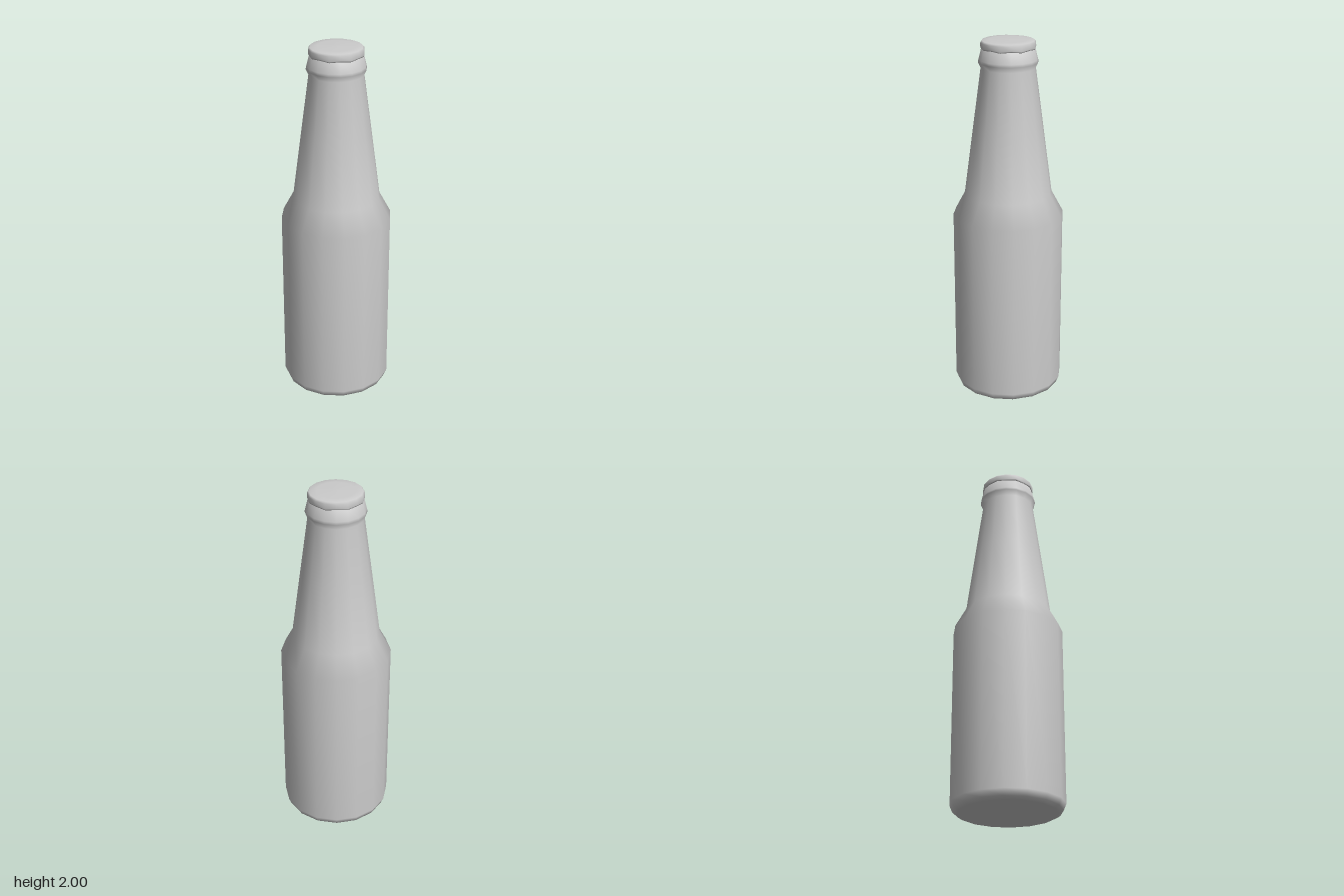
import * as THREE from 'three';

const SIDES = 16;

// Smooth 16-sided turned part from [radius, height] pairs, bottom to top
function turned(name, profile) {
  const points = profile.map(([r, y]) => new THREE.Vector2(r, y));
  const mesh = new THREE.Mesh(
    new THREE.LatheGeometry(points, SIDES),
    new THREE.MeshStandardMaterial({ color: 0xcccccc })
  );
  mesh.name = name;
  return mesh;
}

export function createModel() {
  const group = new THREE.Group();
  group.name = 'bottle';

  // Glass: rounded foot, straight body, sloped shoulder, long neck and lip
  group.add(turned('glassBody', [
    [0, 0.008], [0.2, 0.004], [0.265, 0], [0.29, 0.015], [0.304, 0.05],
    [0.304, 1.035], [0.24, 1.155], [0.19, 1.53], [0.147, 1.85],
    [0.161, 1.88], [0.158, 1.895], [0.143, 1.955], [0.12, 1.965]
  ]));

  // Cap: short skirt and slightly domed top
  const cap = turned('cap', [
    [0.125, 1.957], [0.145, 1.953], [0.148, 1.96], [0.147, 1.985],
    [0.14, 1.995], [0.1, 1.998], [0, 2]
  ]);

  // Crimp the lower edge of the skirt up and down around the cap
  const pos = cap.geometry.attributes.position;
  const ring = pos.count / (SIDES + 1);
  for (let i = 0; i < pos.count; i++) {
    const side = Math.floor(i / ring);
    if (i % ring === 1 || i % ring === 2) {
      pos.setY(i, pos.getY(i) + (side % 2 ? 0.003 : -0.003));
    }
  }
  group.add(cap);

  return group;
}
